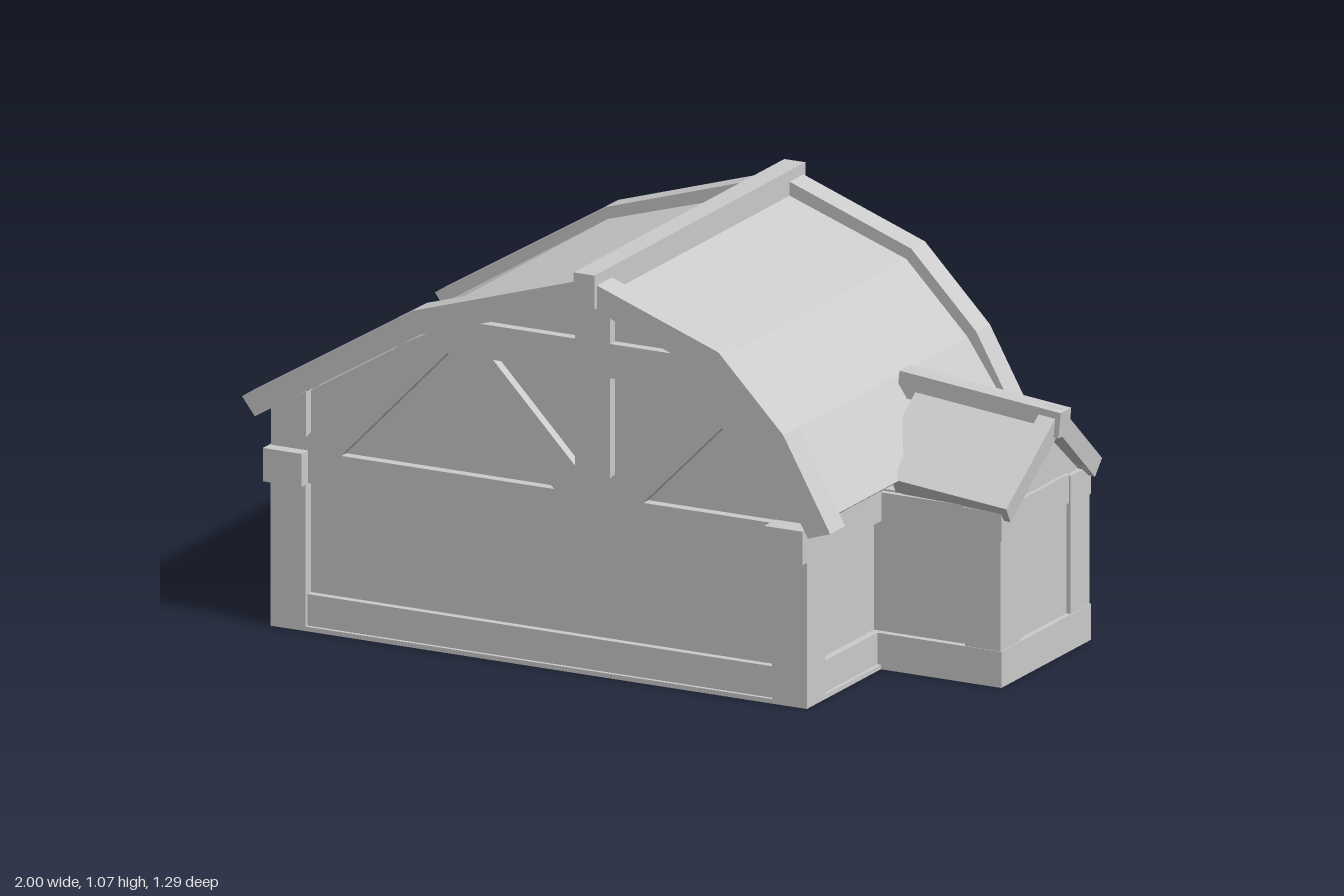
import * as THREE from 'three';

const material = new THREE.MeshStandardMaterial({ color: 0xcccccc, flatShading: true });

const toPath = (pts, Type) => new Type(pts.map(([x, y]) => new THREE.Vector2(x, y)));

// Polygon in x/y extruded from z0 to z1
function slab(parent, name, pts, z0, z1, holes = []) {
  const shape = toPath(pts, THREE.Shape);
  holes.forEach((h) => shape.holes.push(toPath(h, THREE.Path)));
  const geo = new THREE.ExtrudeGeometry(shape, { depth: z1 - z0, bevelEnabled: false });
  geo.translate(0, 0, z0);
  const mesh = new THREE.Mesh(geo, material);
  mesh.name = name;
  parent.add(mesh);
  return mesh;
}

// Box given by its limits
function block(parent, name, x0, x1, y0, y1, z0, z1) {
  const mesh = new THREE.Mesh(new THREE.BoxGeometry(x1 - x0, y1 - y0, z1 - z0), material);
  mesh.position.set((x0 + x1) / 2, (y0 + y1) / 2, (z0 + z1) / 2);
  mesh.name = name;
  parent.add(mesh);
}

function group(parent, name) {
  const g = new THREE.Group();
  g.name = name;
  parent.add(g);
  return g;
}

// Mirrors a right-hand half outline about x = c, top point last
const mirrored = (half, c) => [
  ...half.map(([x, y]) => [c + x, y]),
  ...half.slice().reverse().filter(([x]) => x > 0).map(([x, y]) => [c - x, y]),
];

// House-shaped window outline
const windowOutline = (x, y, r) => [
  [x - r, y - r], [x + r, y - r], [x + r, y + r * 0.35], [x, y + r * 1.2], [x - r, y + r * 0.35],
];

const CX = -0.015;      // ridge line of the hall
const WING_Z = -0.03;   // ridge line of the wing

function buildHall(root) {
  const g = group(root, 'hall');
  const walls = [
    [-0.905, 0], [0.57, 0], [0.57, 0.53], [0.487, 0.69], [0.31, 0.855],
    [CX, 0.98], [-0.487, 0.835], [-0.905, 0.585],
  ];
  const door = mirrored([[0.13, 0.012], [0.13, 0.22], [0.08, 0.33], [0, 0.4]], CX);
  const windows = [[0.41, 0.24], [-0.475, 0.24]];
  slab(g, 'walls', walls, -0.35, 0.573);
  slab(g, 'backWall', walls, -0.397, -0.35,
    [door, ...windows.map(([x, y]) => windowOutline(x, y, 0.06))]);
  for (const [x, y] of windows)
    slab(g, 'windowFrame', windowOutline(x, y, 0.08), -0.42, -0.39, [windowOutline(x, y, 0.052)]);
  // Floor sill under the posts
  block(g, 'sill', -0.935, 0.6, 0, 0.012, -0.427, 0.603);

  // Corner posts and the blocks on top of them
  for (const [x0, x1] of [[-0.935, -0.835], [0.5, 0.6]]) {
    for (const [z0, z1, b0, b1] of [[0.503, 0.603, 0.503, 0.635], [-0.427, -0.327, -0.465, -0.327]]) {
      block(g, 'cornerPost', x0, x1, 0, 0.39, z0, z1);
      block(g, 'cornerBlock', x0 - 0.005, x1 + 0.005, 0.388, 0.476, b0, b1);
    }
  }
  // Side beams and base boards
  block(g, 'sideBeam', -0.935, -0.9, 0.39, 0.475, -0.33, 0.51);
  block(g, 'sideBeam', 0.56, 0.6, 0.39, 0.475, -0.33, 0.51);
  block(g, 'baseBoard', -0.925, -0.9, 0, 0.095, -0.33, 0.51);
  block(g, 'baseBoard', 0.56, 0.59, 0, 0.095, 0.2, 0.51);
  block(g, 'baseBoard', -0.84, 0.51, 0, 0.095, 0.56, 0.593);
  block(g, 'baseBoard', -0.84, -0.2, 0, 0.095, -0.417, -0.39);
  block(g, 'baseBoard', 0.17, 0.51, 0, 0.095, -0.417, -0.39);
}

function buildGableFrame(root, z0, z1) {
  const g = group(root, 'gableFrame');
  const timbers = {
    tieBeam: [[-0.84, 0.39], [0.505, 0.39], [0.505, 0.475], [-0.84, 0.475]],
    collarBeam: [[-0.57, 0.79], [0.4, 0.79], [0.3, 0.88], [-0.4, 0.88]],
    kingPost: [[-0.065, 0.47], [0.035, 0.47], [0.035, 0.98], [-0.065, 0.98]],
    leftPost: [[-0.935, 0.47], [-0.835, 0.47], [-0.835, 0.63], [-0.935, 0.575]],
    leftOuterBrace: [[-0.835, 0.475], [-0.735, 0.475], [-0.43, 0.79], [-0.57, 0.79], [-0.835, 0.51]],
    leftInnerBrace: [[-0.125, 0.475], [-0.065, 0.475], [-0.065, 0.545], [-0.3, 0.79], [-0.43, 0.79]],
    rightInnerBrace: [[0.035, 0.475], [0.13, 0.475], [0.42, 0.77], [0.4, 0.79], [0.3, 0.79], [0.035, 0.525]],
    rightOuterBrace: [[0.5, 0.475], [0.6, 0.475], [0.6, 0.5], [0.42, 0.77], [0.35, 0.71], [0.595, 0.475]].slice(1),
  };
  for (const [name, pts] of Object.entries(timbers)) slab(g, name, pts, z0, z1);
}

function buildRoof(root) {
  const g = group(root, 'roof');
  const inner = [[0.62, 0.46], [0.487, 0.7], [0.31, 0.861], [CX, 0.985], [-0.487, 0.84], [-0.963, 0.556]];
  const outer = [[-1, 0.604], [-0.513, 0.898], [CX, 1.052], [0.364, 0.914], [0.55, 0.722], [0.684, 0.481]];
  const cover = [[-0.97, 0.583], [-0.505, 0.868], [CX, 1.015], [0.35, 0.885], [0.525, 0.705], [0.658, 0.508]];
  const under = [[0.612, 0.477], ...inner.slice(1, -1), [-0.945, 0.567]];
  slab(g, 'roofCover', [...under, ...cover], -0.4, 0.56);
  slab(g, 'frontBarge', [...inner, ...outer], 0.555, 0.635);
  slab(g, 'backBarge', [...inner, ...outer], -0.465, -0.392);
  block(g, 'ridgeBeam', -0.044, 0.016, 0.98, 1.07, -0.475, 0.648);
}

function buildWing(root) {
  const g = group(root, 'wing');
  // Thin walls, open underneath
  block(g, 'frontWall', 0.56, 0.93, 0, 0.47, 0.165, 0.19);
  slab(g, 'backWall', [[0.56, 0], [0.93, 0], [0.93, 0.46], [0.56, 0.46]], -0.255, -0.23,
    [windowOutline(0.73, 0.25, 0.06)]);
  slab(g, 'windowFrame', windowOutline(0.73, 0.25, 0.08), -0.275, -0.24, [windowOutline(0.73, 0.25, 0.052)]);
  const gable = [[-0.22, 0], [0.22, 0], [0.22, 0.45], [0, 0.625], [-0.22, 0.45]];
  const end = slab(g, 'gableWall', gable, 0.905, 0.93);
  end.rotation.y = Math.PI / 2;
  end.position.z = WING_Z;

  for (const s of [-1, 1]) {
    const span = (a, b) => [WING_Z + s * a, WING_Z + s * b].sort((p, q) => p - q);
    block(g, 'cornerPost', 0.84, 0.942, 0.09, 0.39, ...span(0.135, 0.237));
    block(g, 'cornerBlock', 0.835, 0.945, 0.385, 0.46, ...span(0.13, 0.239));
    block(g, 'sideBeam', 0.57, 0.84, 0.39, 0.465, ...span(0.2, 0.236));
    block(g, 'baseBoard', 0.57, 0.945, 0, 0.095, ...span(0.205, 0.239));
  }
  block(g, 'endBeam', 0.9, 0.94, 0.388, 0.465, -0.165, 0.105);
  block(g, 'endBaseBoard', 0.9, 0.945, 0, 0.095, -0.268, 0.208);

  // Roof falling slightly towards its outer end
  const tilt = group(g, 'wingRoof');
  tilt.position.set(0.965, 0.45, WING_Z);
  tilt.rotation.z = -0.1;
  const roof = group(tilt, 'wingRoofParts');
  roof.rotation.y = Math.PI / 2;
  const chevron = (top, eave) => [
    [-eave, top - 0.8 * eave], [-eave + 0.03, 0.165 - 0.8 * (eave - 0.03)], [0, 0.165],
    [eave - 0.03, 0.165 - 0.8 * (eave - 0.03)], [eave, top - 0.8 * eave], [0, top],
  ];
  slab(roof, 'roofCover', chevron(0.205, 0.24), -0.4, -0.02);
  slab(roof, 'endBarge', chevron(0.232, 0.255), -0.048, 0);
  for (const s of [-1, 1]) {
    const pts = [[0.225, -0.015], [0.255, 0.028], [0.2, 0.072], [0.18, 0.02]].map(([x, y]) => [x * s, y]);
    slab(roof, 'eaveTrim', pts, -0.33, -0.01);
  }
  slab(roof, 'ridgeBeam', [[-0.028, 0.16], [0.028, 0.16], [0.028, 0.228], [-0.028, 0.228]], -0.45, 0.014);
}

function buildPorch(root) {
  const g = group(root, 'porch');
  const outer = [[0.19, 0], [0.228, 0.22], [0.165, 0.365], [0.08, 0.44], [0, 0.505]];
  const inner = [[0.1, 0], [0.135, 0.22], [0.085, 0.325], [0, 0.4]];
  const arch = (a, b) => [
    ...a.map(([x, y]) => [CX + x, y]),
    ...a.slice(0, -1).reverse().map(([x, y]) => [CX - x, y]),
    ...b.slice(0, -1).map(([x, y]) => [CX - x, y]),
    ...b.slice().reverse().map(([x, y]) => [CX + x, y]),
  ];
  slab(g, 'arch', arch(outer, inner), -0.645, -0.547);
  // Hood joining the arch to the wall
  const hood = [[0.2, 0.22], [0.15, 0.35], [0.075, 0.43], [0, 0.498]];
  slab(g, 'hood', arch(hood, [[0.14, 0.235], [0.09, 0.33], [0, 0.405]]), -0.55, -0.39);
  // Door planks at the back of the recess
  for (let i = 0; i < 4; i++)
    block(g, 'doorPlank', CX - 0.127 + i * 0.064, CX - 0.065 + i * 0.064, 0.01, 0.38, -0.362, -0.345);
}

export function createModel() {
  const root = new THREE.Group();
  root.name = 'timberHall';
  buildHall(root);
  buildGableFrame(root, 0.565, 0.6);
  buildGableFrame(root, -0.425, -0.39);
  buildRoof(root);
  buildWing(root);
  buildPorch(root);
  return root;
}
